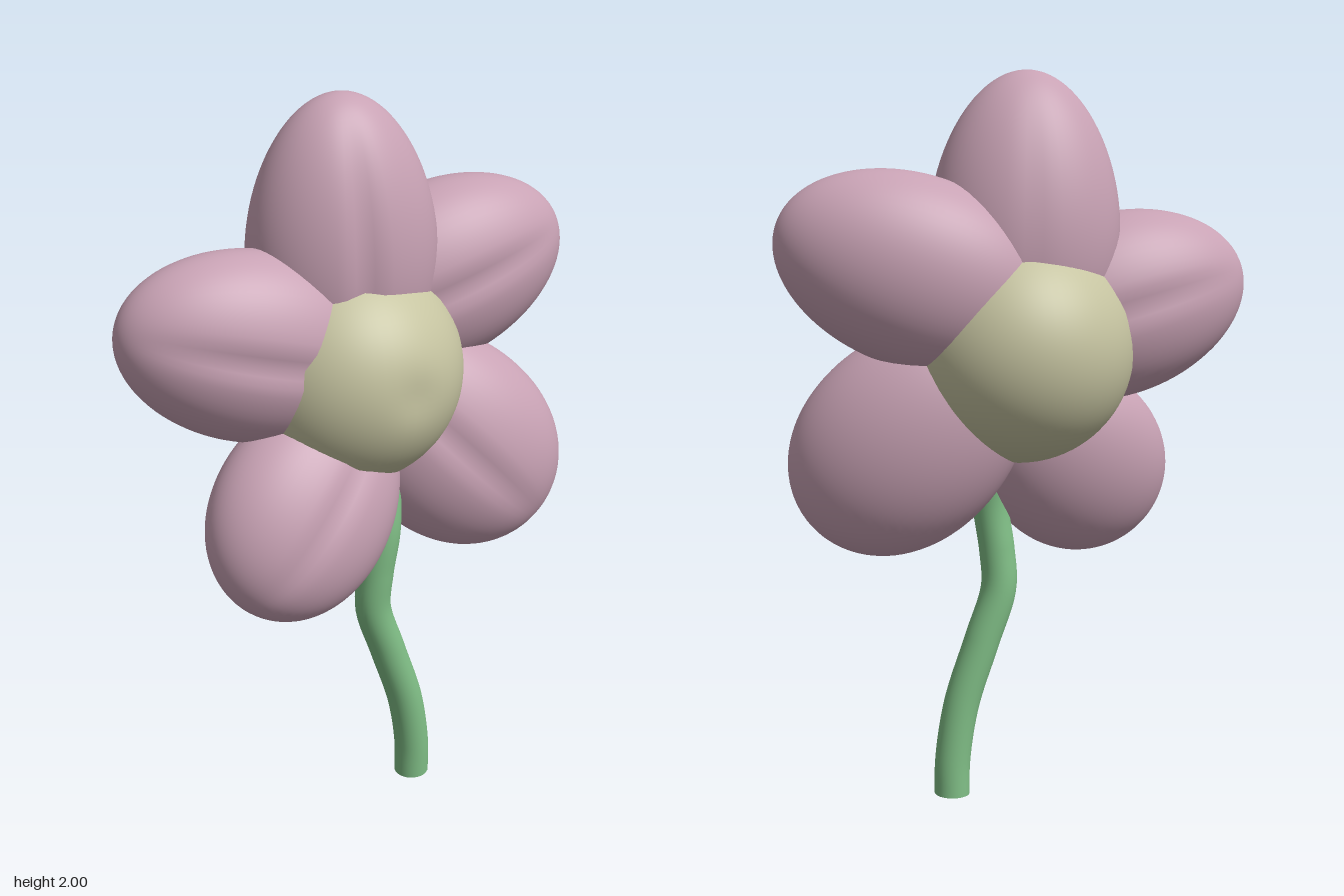
import * as THREE from 'three';

const petalMaterial = new THREE.MeshStandardMaterial({ color: 0xc8a2b4 });
const centreMaterial = new THREE.MeshStandardMaterial({ color: 0xc6c4a1 });
const stemMaterial = new THREE.MeshStandardMaterial({ color: 0x80be86 });

// Egg-shaped petal lying from its middle to its tip, with a soft crease along the front
// (and the back, if given). swell > 0 makes the tip blunter, swell < 0 more pointed.
function makePetal({ name, middle, tip, width, depth, swell, backCrease = 0 }) {
  const centre = new THREE.Vector3(...middle);
  const axis = new THREE.Vector3(...tip).sub(centre);
  const length = axis.length();
  axis.normalize();
  const face = new THREE.Vector3(0, 0, 1).addScaledVector(axis, -axis.z).normalize();
  const side = new THREE.Vector3().crossVectors(axis, face);

  const geometry = new THREE.SphereGeometry(1, 64, 48);
  const p = geometry.attributes.position;
  for (let i = 0; i < p.count; i++) {
    const x = p.getX(i), t = p.getY(i), z = p.getZ(i);
    const girth = 1 + swell * t;
    const crease = Math.exp(-((x / 0.13) ** 2)) * Math.max(0, 1 - t * t);
    const groove = crease * (z > 0 ? 0.08 : backCrease);
    p.setXYZ(i, x * width * girth, t * length, z * depth * girth * (1 - groove));
  }
  geometry.applyMatrix4(new THREE.Matrix4().makeBasis(side, axis, face).setPosition(centre));
  // Smooth normals, rejoined across the seam of the sphere
  geometry.computeVertexNormals();
  const n = geometry.attributes.normal;
  for (let row = 0; row <= 48; row++) {
    const a = row * 65, b = a + 64;
    const v = new THREE.Vector3().fromBufferAttribute(n, a)
      .add(new THREE.Vector3().fromBufferAttribute(n, b)).normalize();
    n.setXYZ(a, v.x, v.y, v.z);
    n.setXYZ(b, v.x, v.y, v.z);
  }
  const mesh = new THREE.Mesh(geometry, petalMaterial);
  mesh.name = name;
  return mesh;
}

// Round flower centre with a shallow dent in front
function makeCentre() {
  const geometry = new THREE.SphereGeometry(0.308, 64, 48);
  const p = geometry.attributes.position;
  const dent = new THREE.Vector3(0.09, 0, 0.29);
  const v = new THREE.Vector3();
  for (let i = 0; i < p.count; i++) {
    v.fromBufferAttribute(p, i);
    v.multiplyScalar(1 - 0.035 * Math.exp(-v.distanceToSquared(dent) / 0.004));
    p.setXYZ(i, v.x, v.y, v.z);
  }
  geometry.computeVertexNormals();
  const mesh = new THREE.Mesh(geometry, centreMaterial);
  mesh.position.set(-0.005, 1.275, -0.025);
  mesh.name = 'flowerCentre';
  return mesh;
}

// Curved stem with a flat cut at the foot
function makeStem() {
  const stem = new THREE.Group();
  stem.name = 'stem';
  const curve = new THREE.CatmullRomCurve3([
    [0.182, 0, 0.015], [0.179, 0.1, 0.02], [0.152, 0.26, 0.03], [0.092, 0.44, 0.043],
    [0.043, 0.59, 0.055], [0.047, 0.7, 0.063], [0.066, 0.84, 0.065], [0.075, 1.08, 0.02],
  ].map((c) => new THREE.Vector3(...c)));
  const tube = new THREE.Mesh(new THREE.TubeGeometry(curve, 64, 0.05, 32), stemMaterial);
  tube.name = 'stemTube';
  const foot = new THREE.Mesh(new THREE.CircleGeometry(0.05, 32), stemMaterial);
  foot.position.copy(curve.getPointAt(0));
  foot.lookAt(foot.position.clone().sub(curve.getTangentAt(0)));
  foot.name = 'stemFoot';
  stem.add(tube, foot);
  return stem;
}

export function createModel() {
  const flower = new THREE.Group();
  flower.name = 'flower';

  const petals = [
    { name: 'topPetal', middle: [-0.02, 1.62, -0.025], tip: [-0.03, 2.0, -0.01],
      width: 0.253, depth: 0.193, swell: -0.1, backCrease: 0.02 },
    { name: 'upperLeftPetal', middle: [0.285, 1.49, -0.11], tip: [0.628, 1.61, -0.12],
      width: 0.248, depth: 0.19, swell: -0.04 },
    { name: 'upperRightPetal', middle: [-0.29, 1.385, 0.04], tip: [-0.635, 1.475, 0.08],
      width: 0.25, depth: 0.19, swell: -0.05, backCrease: 0.06 },
    { name: 'lowerLeftPetal', middle: [0.285, 1.045, -0.04], tip: [0.545, 0.787, 0.0],
      width: 0.275, depth: 0.188, swell: 0.08 },
    { name: 'lowerRightPetal', middle: [-0.165, 0.955, 0.11], tip: [-0.368, 0.733, 0.22],
      width: 0.255, depth: 0.175, swell: 0.06 },
  ];
  for (const petal of petals) flower.add(makePetal(petal));
  flower.add(makeCentre(), makeStem());
  return flower;
}
